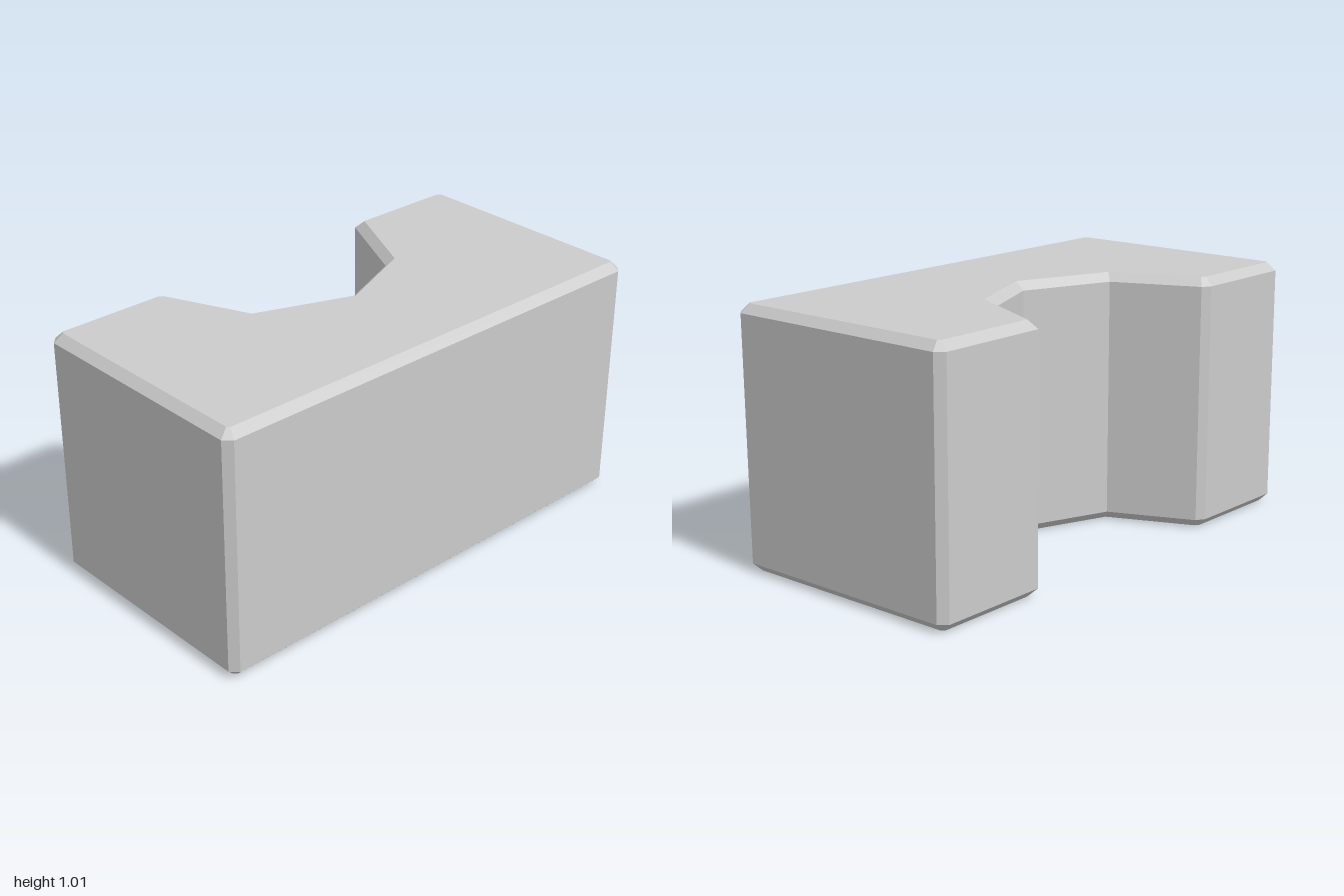
import * as THREE from 'three';

export function createModel() {
  const group = new THREE.Group();
  const height = 1.01, bevel = 0.033;

  // Plan outline as [x, z]: block with chipped corners and a V-floored notch in its back
  const outline = [
    [-0.97, 0.505], [0.97, 0.505], [1, 0.475],
    [1, -0.475], [0.97, -0.507], [0.51, -0.507],
    [0.34, -0.15], [0.02, -0.015], [-0.34, -0.15],
    [-0.485, -0.485], [-0.52, -0.507],
    [-0.97, -0.507], [-1, -0.475], [-1, 0.475],
  ];
  const shape = new THREE.Shape(outline.map(([x, z]) => new THREE.Vector2(x, -z)));

  // Raise the outline with one flat chamfer along the top and bottom edges
  const geometry = new THREE.ExtrudeGeometry(shape, {
    depth: height - 2 * bevel,
    bevelEnabled: true, bevelSegments: 1,
    bevelSize: bevel, bevelThickness: bevel, bevelOffset: -bevel,
  });
  geometry.rotateX(-Math.PI / 2).translate(0, bevel, 0);

  // The front face leans in slightly towards the bottom
  const pos = geometry.attributes.position;
  for (let i = 0; i < pos.count; i++) {
    if (pos.getZ(i) > 0.4) pos.setZ(i, pos.getZ(i) - 0.012 * (1 - pos.getY(i) / height));
  }
  geometry.computeVertexNormals();

  const block = new THREE.Mesh(
    geometry,
    new THREE.MeshStandardMaterial({ color: 0xcccccc, flatShading: true }),
  );
  block.name = 'notchedStoneBlock';
  group.add(block);
  return group;
}
